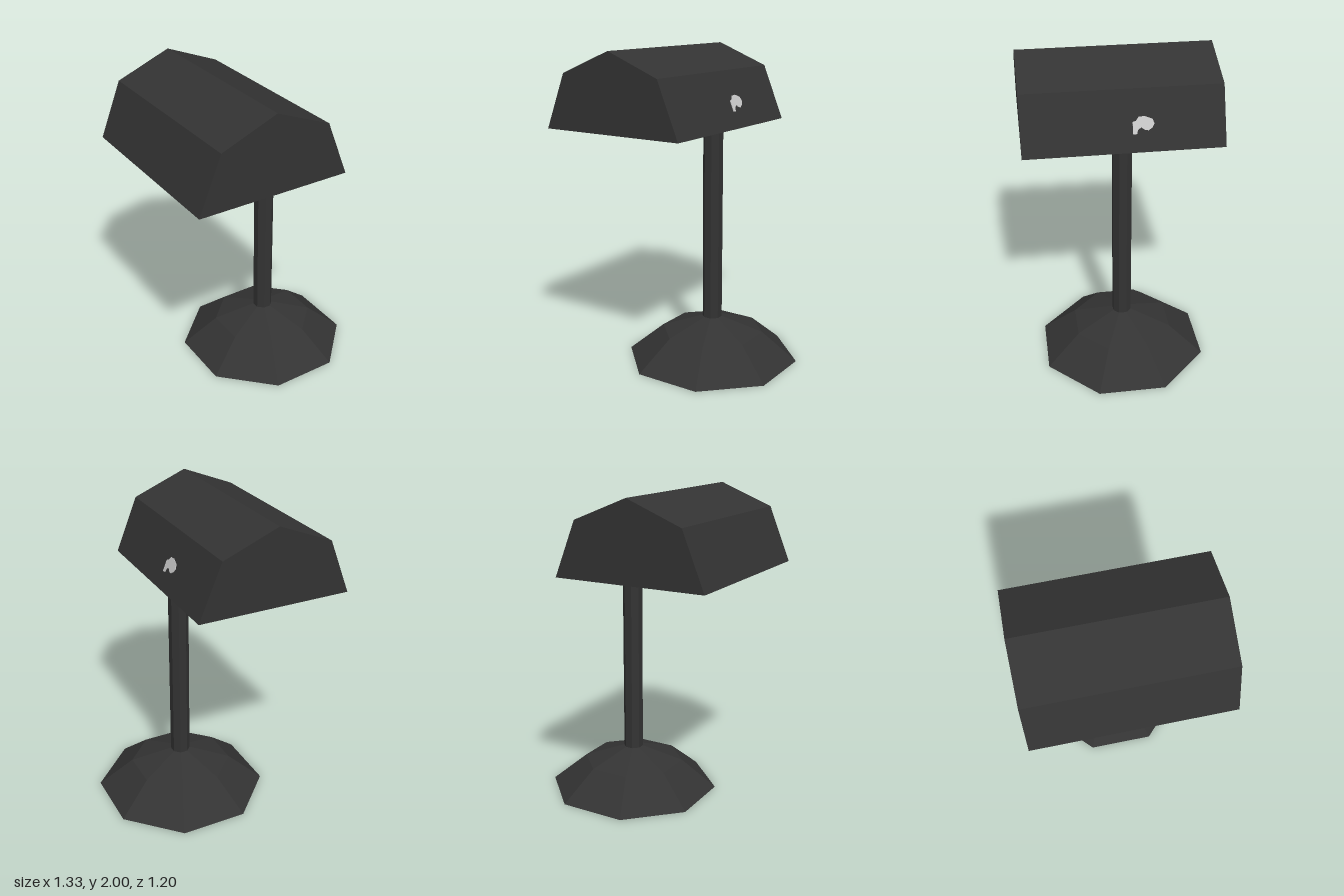
import * as THREE from 'three';

const dark = new THREE.MeshStandardMaterial({ color: 0x333333, flatShading: true });
dark.name = 'dark metal';
const light = new THREE.MeshStandardMaterial({ color: 0xc8c8c8, flatShading: true });
light.name = 'pale grey';

const POLE_X = 0.152;
const SHADE_Y = 1.515;

function add(parent, name, geometry, material) {
  const mesh = new THREE.Mesh(geometry, material);
  mesh.name = name;
  parent.add(mesh);
  return mesh;
}

// Eight-sided tapering section with flats facing the axes
function octagonSection(rTop, rBottom, y0, y1) {
  const g = new THREE.CylinderGeometry(rTop, rBottom, y1 - y0, 8, 1, false, Math.PI / 8);
  return g.translate(POLE_X, (y0 + y1) / 2, 0);
}

function plate(shape) {
  return new THREE.ExtrudeGeometry(shape, { depth: 0.004, bevelEnabled: false, curveSegments: 6 });
}

export function createModel() {
  const lamp = new THREE.Group();
  lamp.name = 'lamp';

  // Faceted base in two slopes, and the pole
  add(lamp, 'baseSkirt', octagonSection(0.329, 0.555, 0, 0.185), dark);
  add(lamp, 'baseCap', octagonSection(0.063, 0.329, 0.185, 0.275), dark);
  add(lamp, 'pole', octagonSection(0.063, 0.063, 0.27, SHADE_Y + 0.01), dark);

  // Five-cornered shade, extruded along z
  const profile = [[-0.668, SHADE_Y], [0.308, SHADE_Y], [0.167, 1.86], [-0.18, 2], [-0.527, 1.86]];
  const shade = new THREE.Shape(profile.map(([x, y]) => new THREE.Vector2(x, y)));
  const shadeGeo = new THREE.ExtrudeGeometry(shade, { depth: 1.204, bevelEnabled: false });
  add(lamp, 'shade', shadeGeo.translate(0, 0, -0.602), dark);

  // Rounded light panel under the shade
  const outline = [];
  for (let i = 0; i < 48; i++) {
    const t = (i / 48) * Math.PI * 2;
    const bulge = (v) => Math.sign(v) * Math.abs(v) ** 0.75;
    outline.push(new THREE.Vector2(0.265 * bulge(Math.cos(t)), 0.515 * bulge(Math.sin(t))));
  }
  const panel = add(lamp, 'lightPanel', plate(new THREE.Shape(outline)).rotateX(Math.PI / 2), light);
  panel.position.set(-0.187, SHADE_Y, 0.01);

  // Small curved patch on the sloping side: [-z, height up the slope]
  const patch = [
    [0.049, 0.108], [0.072, 0.108], [0.078, 0.132], [0.1, 0.146], [0.115, 0.132], [0.14, 0.126],
    [0.165, 0.142], [0.177, 0.165], [0.167, 0.192], [0.14, 0.203], [0.12, 0.211], [0.085, 0.208],
    [0.068, 0.185], [0.049, 0.18],
  ].map(([u, v]) => new THREE.Vector2(u, v));
  const tilt = Math.atan2(0.141, 0.345);
  const patchGeo = plate(new THREE.Shape(patch)).rotateY(Math.PI / 2).rotateZ(tilt);
  add(lamp, 'sidePatch', patchGeo, light).position.set(0.308, SHADE_Y, 0);

  return lamp;
}
